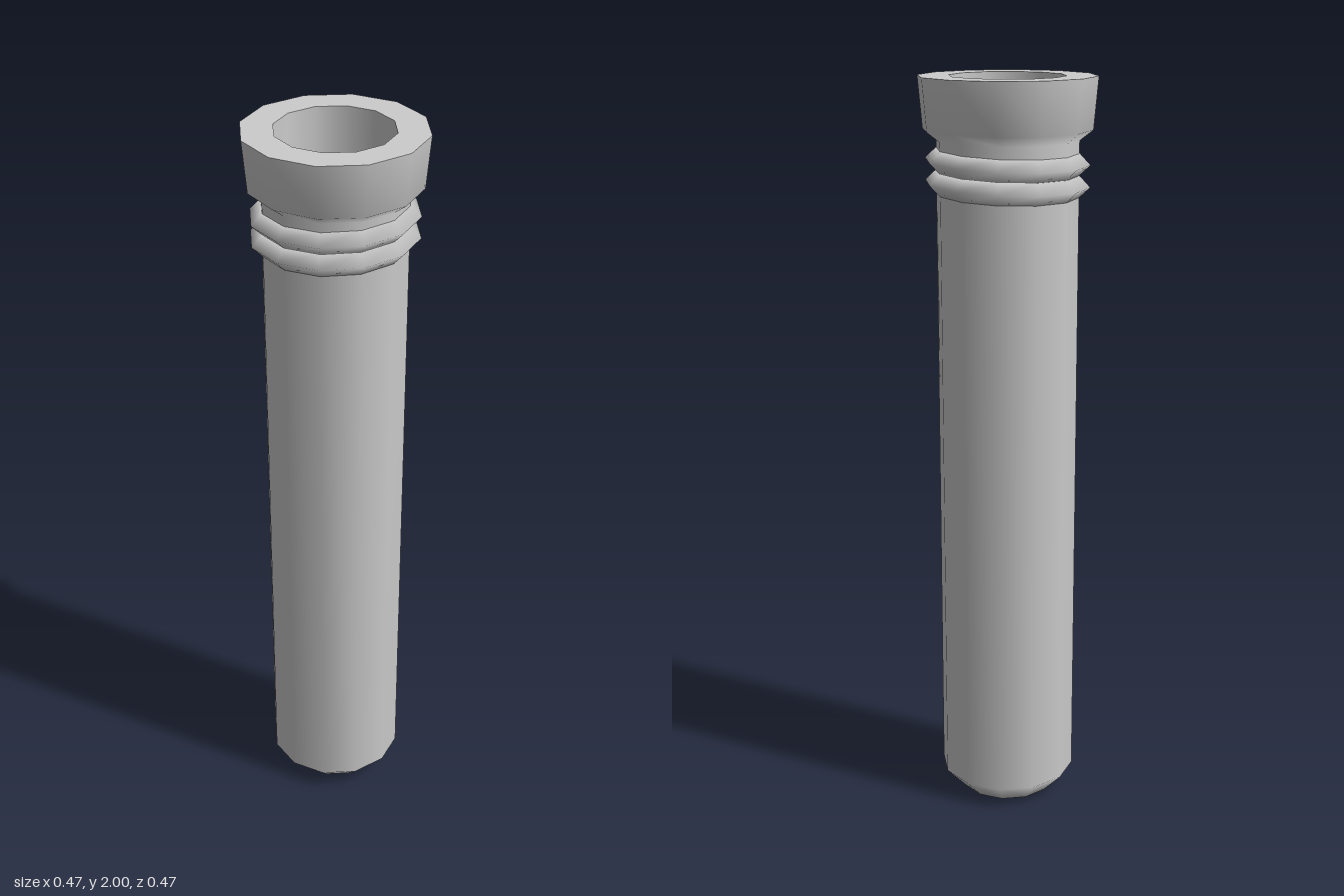
import * as THREE from 'three';

const SIDES = 12;

export function createModel() {
  const group = new THREE.Group();
  const grey = new THREE.MeshStandardMaterial({ color: 0xcccccc });
  grey.name = 'grey';

  const add = (name, geometry) => {
    const mesh = new THREE.Mesh(geometry, grey);
    mesh.name = name;
    group.add(mesh);
    return mesh;
  };
  const lathe = (points) =>
    new THREE.LatheGeometry(points.map(([r, y]) => new THREE.Vector2(r, y)), SIDES);

  // Outer wall: chamfered foot, long shaft, neck and flared collar
  add('outerWall', lathe([
    [0, 0], [0.13, 0], [0.187, 0.06], [0.187, 1.838], [0.222, 1.865], [0.234, 2],
  ]));

  // Flat rim, kept separate so its edges stay sharp
  add('rim', lathe([[0.234, 2], [0.152, 2]]));

  // Hollow inside with a rounded floor
  add('innerWall', lathe([[0.152, 2], [0.152, 0.1], [0.105, 0.05], [0, 0.05]]));

  // Two slightly tilted diamond-section rings below the collar
  [['upperRing', 1.783], ['lowerRing', 1.726]].forEach(([name, y]) => {
    const ring = add(name, new THREE.TorusGeometry(0.187, 0.029, 4, SIDES).rotateX(Math.PI / 2));
    ring.position.y = y;
    ring.rotation.x = -0.04;
  });

  return group;
}
